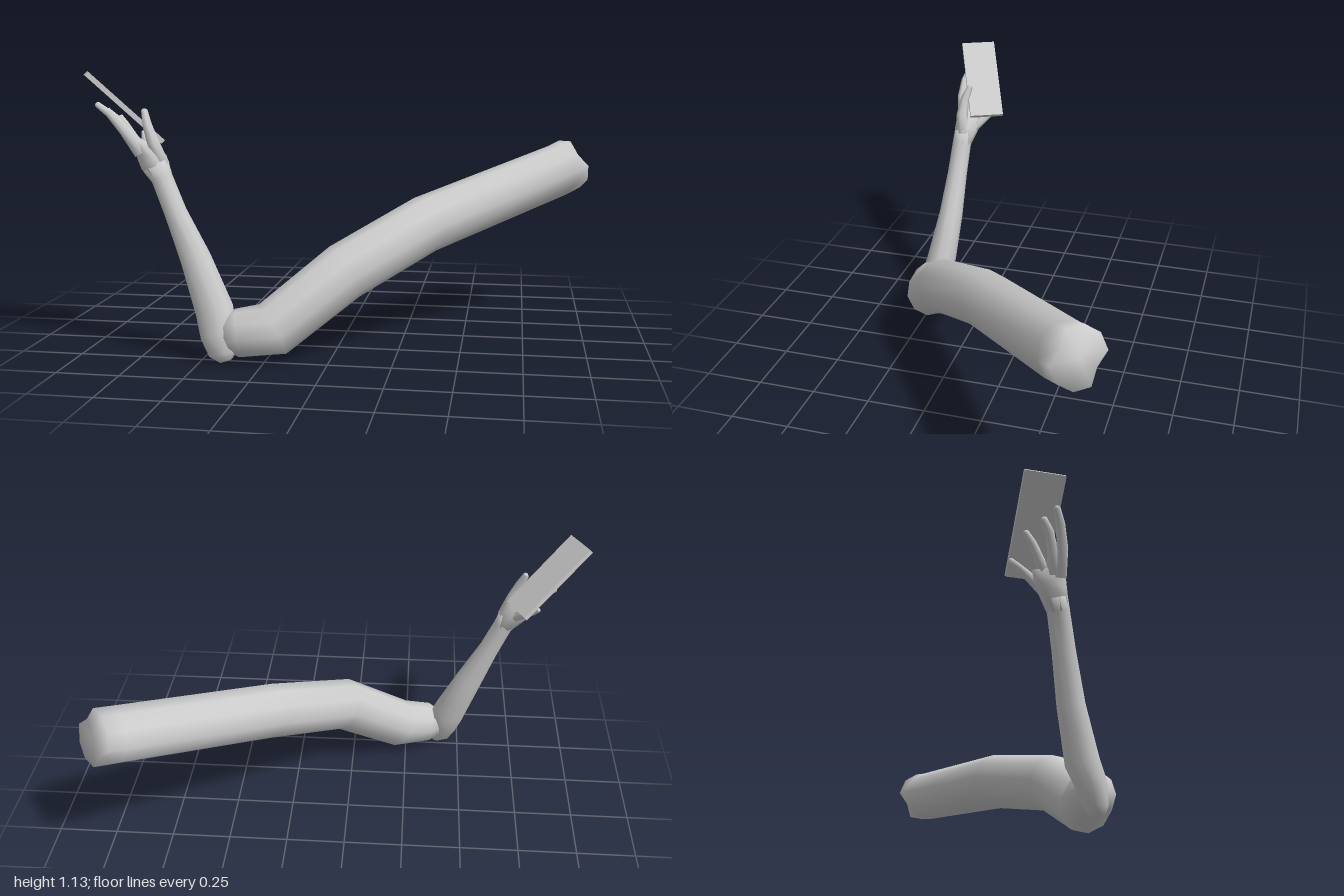
import * as THREE from 'three';

const material = new THREE.MeshStandardMaterial({ color: 0xcccccc });

// Closed smooth tube through rings [x, y, z, radiusU, radiusV]; "across" sets the U axis,
// "shape(ring, side)" scales single ring corners.
function loft(name, rings, sides, across, shape = () => 1) {
  const hint = new THREE.Vector3(...across);
  const centres = rings.map(r => new THREE.Vector3(r[0], r[1], r[2]));
  const last = rings.length - 1;
  const positions = [], index = [];
  rings.forEach(([, , , ru, rv], i) => {
    const t = centres[Math.min(i + 1, last)].clone().sub(centres[Math.max(i - 1, 0)]).normalize();
    const u = hint.clone().addScaledVector(t, -hint.dot(t)).normalize();
    const v = t.clone().cross(u);
    for (let k = 0; k < sides; k++) {
      const a = (k / sides) * Math.PI * 2, s = shape(i, k);
      const p = centres[i].clone()
        .addScaledVector(u, Math.cos(a) * ru * s)
        .addScaledVector(v, Math.sin(a) * rv * s);
      positions.push(p.x, p.y, p.z);
    }
  });
  const start = rings.length * sides, end = start + 1;
  positions.push(...centres[0].toArray(), ...centres[last].toArray());
  for (let k = 0; k < sides; k++) {
    const n = (k + 1) % sides;
    for (let i = 0; i < last; i++) {
      const a = i * sides + k, b = i * sides + n;
      index.push(a, b, a + sides, b, b + sides, a + sides);
    }
    index.push(start, n, k, end, last * sides + k, last * sides + n);
  }
  const geometry = new THREE.BufferGeometry();
  geometry.setAttribute('position', new THREE.Float32BufferAttribute(positions, 3));
  geometry.setIndex(index);
  geometry.computeVertexNormals();
  const mesh = new THREE.Mesh(geometry, material);
  mesh.name = name;
  return mesh;
}

// Tapered finger through a few joints
function finger(name, joints, r0, r1) {
  const rings = joints.map((p, i) => {
    const r = r0 + (r1 - r0) * i / (joints.length - 1);
    return [...p, r, r];
  });
  const a = joints[joints.length - 2], b = joints[joints.length - 1];
  rings.push([...b.map((c, i) => c + (c - a[i]) * 0.12), r1 * 0.5, r1 * 0.5]);
  return loft(name, rings, 6, [0.42, 0, 0.91]);
}

export function createModel() {
  const model = new THREE.Group();

  // Upper arm, from elbow to the pinched open end at the shoulder
  model.add(loft('upperArm', [
    [-0.41, 0.115, 0.515, 0.05, 0.06],
    [-0.355, 0.118, 0.51, 0.09, 0.095],
    [-0.22, 0.13, 0.475, 0.107, 0.112],
    [0.04, 0.335, 0.32, 0.113, 0.118],
    [0.335, 0.485, 0.03, 0.117, 0.12],
    [0.89, 0.668, -0.432, 0.115, 0.117],
    [0.948, 0.692, -0.487, 0.115, 0.117],
  ], 10, [0.62, 0, 0.78], (i, k) => (i === 6 && (k === 4 || k === 9) ? 0.7 : 1)));

  // Forearm, narrowing from the elbow to the wrist
  model.add(loft('forearm', [
    [-0.395, 0.01, 0.535, 0.025, 0.025],
    [-0.405, 0.04, 0.53, 0.06, 0.045],
    [-0.425, 0.11, 0.52, 0.075, 0.06],
    [-0.45, 0.2, 0.49, 0.078, 0.068],
    [-0.53, 0.4, 0.465, 0.063, 0.055],
    [-0.61, 0.58, 0.455, 0.046, 0.046],
    [-0.665, 0.715, 0.447, 0.044, 0.044],
    [-0.69, 0.76, 0.442, 0.056, 0.046],
  ], 10, [1, 0, 0]));

  // Hand
  const hand = new THREE.Group();
  hand.name = 'hand';
  hand.add(loft('palm', [
    [-0.665, 0.715, 0.447, 0.043, 0.043],
    [-0.70, 0.775, 0.435, 0.056, 0.055],
    [-0.735, 0.815, 0.428, 0.042, 0.062],
    [-0.765, 0.85, 0.425, 0.022, 0.06],
  ], 8, [0.8, -0.6, 0]));
  hand.add(
    finger('thumb', [[-0.665, 0.765, 0.44], [-0.695, 0.85, 0.452], [-0.72, 0.92, 0.445], [-0.737, 0.975, 0.425]], 0.033, 0.014),
    finger('indexFinger', [[-0.745, 0.81, 0.465], [-0.80, 0.90, 0.485], [-0.855, 0.965, 0.487], [-0.905, 1.0, 0.482]], 0.026, 0.013),
    finger('middleFinger', [[-0.755, 0.82, 0.44], [-0.80, 0.885, 0.45], [-0.845, 0.945, 0.445], [-0.885, 0.975, 0.43]], 0.024, 0.013),
    finger('ringFinger', [[-0.75, 0.82, 0.41], [-0.79, 0.865, 0.40], [-0.83, 0.915, 0.38], [-0.86, 0.945, 0.36]], 0.022, 0.012),
    finger('littleFinger', [[-0.71, 0.785, 0.40], [-0.745, 0.82, 0.36], [-0.775, 0.855, 0.32], [-0.79, 0.88, 0.292]], 0.024, 0.011),
  );
  model.add(hand);

  // Flat tablet gripped between thumb and fingers
  const tablet = new THREE.Mesh(new THREE.BoxGeometry(0.155, 0.39, 0.02), material);
  tablet.name = 'tablet';
  const wide = new THREE.Vector3(0.42, 0, 0.907).normalize();
  const long = new THREE.Vector3(-0.675, 0.688, 0.267);
  long.addScaledVector(wide, -long.dot(wide)).normalize();
  tablet.quaternion.setFromRotationMatrix(
    new THREE.Matrix4().makeBasis(wide, long, wide.clone().cross(long)));
  tablet.position.set(-0.832, 0.985, 0.392);
  model.add(tablet);

  return model;
}
